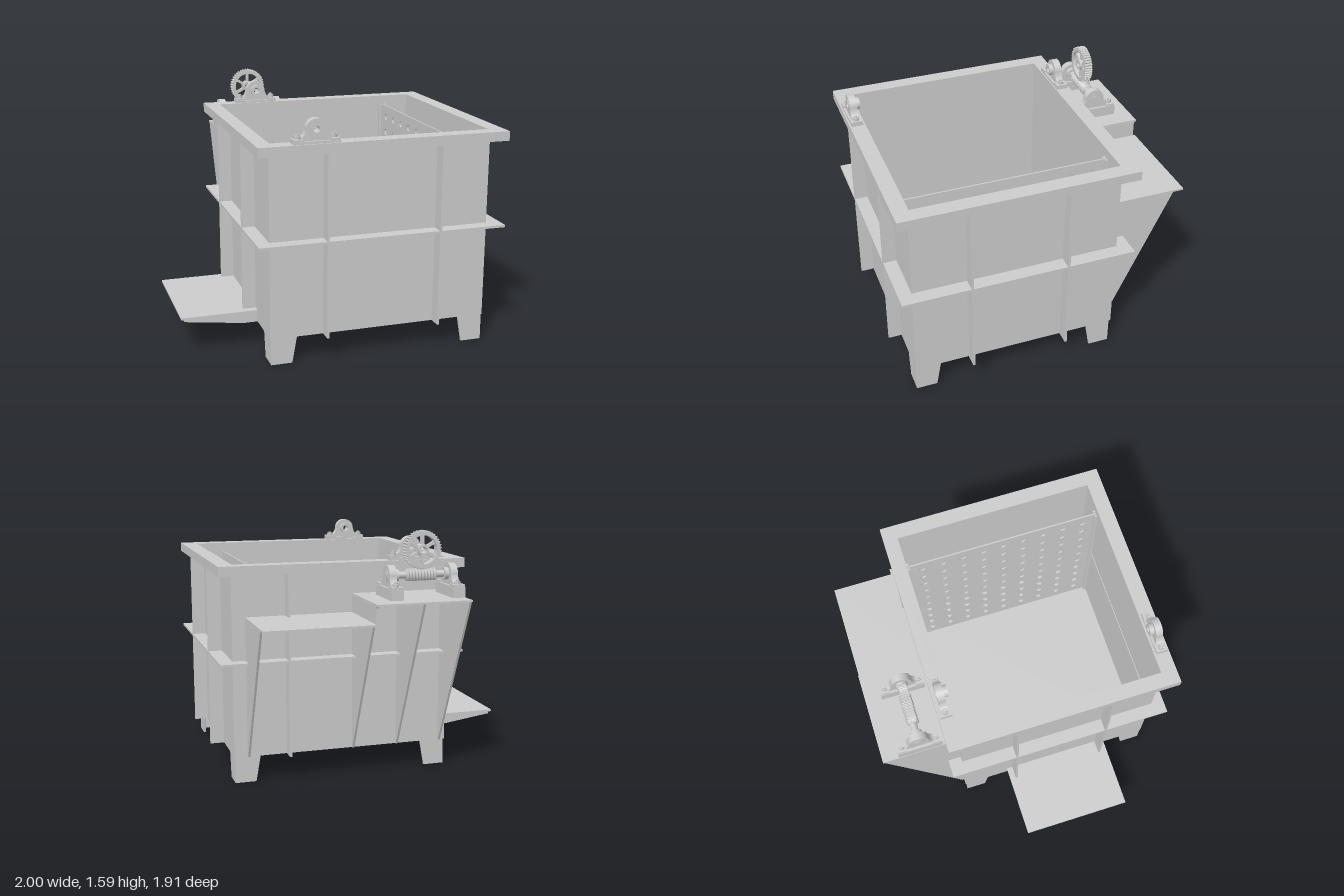
import * as THREE from 'three';

const mat = new THREE.MeshStandardMaterial({ color: 0xcccccc, side: THREE.DoubleSide });

function add(parent, name, geo) {
  const m = new THREE.Mesh(geo, mat);
  m.name = name;
  parent.add(m);
  return m;
}

// Box given by its min and max along each axis
function box(parent, name, x0, x1, y0, y1, z0, z1) {
  const m = add(parent, name, new THREE.BoxGeometry(x1 - x0, y1 - y0, z1 - z0));
  m.position.set((x0 + x1) / 2, (y0 + y1) / 2, (z0 + z1) / 2);
  return m;
}

const outline = pts => new THREE.Shape(pts.map(p => new THREE.Vector2(p[0], p[1])));

// Extrusion centred on its thickness
function slab(shape, depth, curveSegments = 12) {
  const g = new THREE.ExtrudeGeometry(shape, { depth, bevelEnabled: false, curveSegments });
  return g.translate(0, 0, -depth / 2);
}

// Plate facing x, drawn in (z, y)
function sidePlate(parent, name, pts, x, t) {
  const m = add(parent, name, slab(outline(pts), t));
  m.rotation.y = -Math.PI / 2;
  m.position.x = x;
  return m;
}

function circleHole(x, y, r) {
  const p = new THREE.Path();
  p.absarc(x, y, r, 0, Math.PI * 2, true);
  return p;
}

// Flat rectangular ring round the tank
function frame(parent, name, y0, y1) {
  const s = outline([[-0.595, -0.955], [1, -0.955], [1, 0.555], [-0.595, 0.555]]);
  s.holes.push(outline([[-0.5, -0.855], [-0.5, 0.46], [0.9, 0.46], [0.9, -0.855]]));
  const m = add(parent, name, slab(s, y1 - y0));
  m.rotation.x = -Math.PI / 2;
  m.position.y = (y0 + y1) / 2;
}

// Pillow block standing on y = 0, shaft along z, hub on the +z side
function bearing(name) {
  const g = new THREE.Group();
  g.name = name;
  const s = new THREE.Shape();
  s.moveTo(-0.1, 0);
  s.lineTo(0.1, 0);
  s.lineTo(0.095, 0.035);
  s.quadraticCurveTo(0.07, 0.045, 0.064, 0.085);
  s.absarc(0, 0.083, 0.064, 0, Math.PI, false);
  s.quadraticCurveTo(-0.07, 0.045, -0.095, 0.035);
  s.closePath();
  s.holes.push(circleHole(0, 0.083, 0.03));
  add(g, 'bearingHousing', slab(s, 0.046));
  box(g, 'bearingBase', -0.143, 0.143, 0, 0.016, -0.038, 0.038);
  for (const k of [-1, 1]) {
    box(g, 'bearingFoot', k * 0.112 - 0.03, k * 0.112 + 0.03, 0, 0.028, -0.037, 0.037);
    add(g, 'bearingBolt', new THREE.CylinderGeometry(0.021, 0.021, 0.018, 6)).position.set(k * 0.112, 0.037, 0);
    add(g, 'boltStud', new THREE.CylinderGeometry(0.011, 0.011, 0.012, 12)).position.set(k * 0.112, 0.05, 0);
  }
  const ring = new THREE.Shape();
  ring.absarc(0, 0, 0.038, 0, Math.PI * 2, false);
  ring.holes.push(circleHole(0, 0, 0.02));
  add(g, 'bearingHub', slab(ring, 0.076, 16)).position.set(0, 0.083, 0.012);
  return g;
}

// Spoked worm wheel with teeth, axis along z
function wormWheel() {
  const g = new THREE.Group();
  g.name = 'wormWheel';
  const teeth = 40, pts = [];
  for (let i = 0; i < teeth; i++) {
    [[0, 0.112], [0.25, 0.12], [0.5, 0.12], [0.75, 0.112]].forEach(([f, r]) => {
      const a = (i + f) / teeth * Math.PI * 2;
      pts.push([r * Math.cos(a), r * Math.sin(a)]);
    });
  }
  const s = outline(pts);
  s.holes.push(circleHole(0, 0, 0.09));
  add(g, 'wheelRim', slab(s, 0.052, 24));
  for (let i = 0; i < 6; i++) {
    const a = i * Math.PI / 3 + Math.PI / 6;
    const m = add(g, 'wheelSpoke', new THREE.BoxGeometry(0.07, 0.018, 0.025));
    m.position.set(0.063 * Math.cos(a), 0.063 * Math.sin(a), 0);
    m.rotation.z = a;
  }
  const hub = new THREE.Shape();
  hub.absarc(0, 0, 0.036, 0, Math.PI * 2, false);
  hub.holes.push(circleHole(0, 0, 0.02));
  add(g, 'wheelHub', slab(hub, 0.056, 16));
  return g;
}

export function createModel() {
  const root = new THREE.Group();
  root.name = 'tank';

  // Tank shell
  box(root, 'tankFloor', -0.51, 0.91, 0.17, 0.18, -0.47, 0.87);
  box(root, 'rightWall', -0.51, -0.5, 0.17, 1.36, -0.47, 0.87);
  box(root, 'leftWall', 0.9, 0.91, 0.17, 1.36, -0.47, 0.87);
  box(root, 'frontWall', -0.51, 0.91, 0.17, 1.36, 0.86, 0.87);
  box(root, 'backWall', -0.51, 0.91, 0.17, 1.36, -0.47, -0.46);
  frame(root, 'topRim', 1.33, 1.39);
  frame(root, 'middleFlange', 0.775, 0.79);

  // Upright stiffeners
  for (const x of [-0.165, 0.565]) {
    box(root, 'frontRib', x - 0.007, x + 0.007, 0.17, 1.33, 0.87, 0.955);
  }
  box(root, 'backRib', 0.558, 0.572, 0.17, 1.33, -0.555, -0.47);
  for (const z of [0.515, -0.11]) {
    box(root, 'rightRib', -0.595, -0.51, 0.17, 1.33, z - 0.007, z + 0.007);
    box(root, 'leftRib', 0.91, 1, 0.17, 1.33, z - 0.007, z + 0.007);
  }

  // Angle-iron feet, two tapered plates at each corner
  for (const [x, sx] of [[-0.505, 1], [0.905, -1]]) {
    for (const [z, sz] of [[-0.46, 1], [0.87, -1]]) {
      const foot = new THREE.Group();
      foot.name = 'foot';
      root.add(foot);
      const p = (o, s) => [[o, 0], [o + s * 0.135, 0], [o + s * 0.165, 0.17], [o, 0.17]];
      add(foot, 'footPlate', slab(outline(p(x, sx)), 0.014)).position.z = z + sz * 0.007;
      sidePlate(foot, 'footSidePlate', p(z, sz), x + sx * 0.007, 0.014);
    }
  }

  // Back platforms on sloping gussets
  box(root, 'highPlatform', -0.475, 0.135, 1.17, 1.182, -0.96, -0.47);
  box(root, 'lowPlatform', 0.135, 0.825, 1.05, 1.062, -0.96, -0.47);
  box(root, 'platformStep', 0.123, 0.137, 1.05, 1.17, -0.945, -0.47);
  for (const [x, z, y] of [[-0.468, -0.95, 1.17], [-0.17, -0.95, 1.17], [0.13, -0.95, 1.17], [0.818, -0.89, 1.05]]) {
    sidePlate(root, 'platformGusset', [[-0.465, 0.17], [-0.48, 0.17], [z, y], [-0.465, y]], x, 0.014);
  }

  // Low side shelf with a tapered underside
  box(root, 'sideShelf', -1, -0.51, 0.237, 0.25, -0.157, 0.57);
  const wedge = outline([[-0.51, 0.17], [-0.6, 0.17], [-0.98, 0.222], [-0.98, 0.237], [-0.51, 0.237]]);
  add(root, 'shelfSupport', slab(wedge, 0.715)).position.z = 0.2065;

  // Perforated baffle and its guides
  const baffle = outline([[-0.455, 0.18], [0.855, 0.18], [0.855, 1.33], [-0.455, 1.33]]);
  for (let i = 0; i < 9; i++) {
    for (let j = 0; j < 10; j++) baffle.holes.push(circleHole(0.2 + (i - 4) * 0.14, 0.26 + j * 0.11, 0.022));
  }
  const screen = add(root, 'perforatedBaffle', slab(baffle, 0.01, 6));
  screen.rotation.y = -Math.PI / 2;
  screen.position.x = 0.71;
  for (const x of [0.692, 0.728]) {
    box(root, 'baffleGuide', x - 0.007, x + 0.007, 0.18, 1.33, -0.46, -0.44);
    box(root, 'baffleGuide', x - 0.007, x + 0.007, 0.18, 1.33, 0.84, 0.86);
  }

  // Rim bearings, hubs facing inward
  for (const [z, turn] of [[0.907, Math.PI], [-0.505, 0]]) {
    const b = bearing('rimBearing');
    b.position.set(-0.235, 1.39, z);
    b.rotation.y = turn;
    root.add(b);
  }

  // Worm drive on the high platform
  for (const [x, turn] of [[-0.432, 1], [-0.03, -1]]) {
    box(root, 'bearingPedestal', x - 0.04, x + 0.04, 1.182, 1.247, -0.855, -0.568);
    const b = bearing('wormBearing');
    b.position.set(x, 1.235, -0.71);
    b.rotation.y = turn * Math.PI / 2;
    root.add(b);
  }
  const shaft = add(root, 'wormShaft', new THREE.CylinderGeometry(0.022, 0.022, 0.46, 20));
  shaft.rotation.z = Math.PI / 2;
  shaft.position.set(-0.231, 1.318, -0.71);
  const profile = [[0.022, -0.1]];
  for (let i = 0; i < 10; i++) {
    const y = -0.1 + i * 0.02;
    profile.push([0.028, y + 0.002], [0.04, y + 0.007], [0.04, y + 0.013], [0.028, y + 0.018]);
  }
  profile.push([0.022, 0.1]);
  const worm = add(root, 'worm', new THREE.LatheGeometry(profile.map(p => new THREE.Vector2(p[0], p[1])), 24));
  worm.rotation.z = Math.PI / 2;
  worm.position.copy(shaft.position);

  const wheel = wormWheel();
  wheel.position.set(-0.24, 1.47, -0.71);
  root.add(wheel);

  return root;
}
